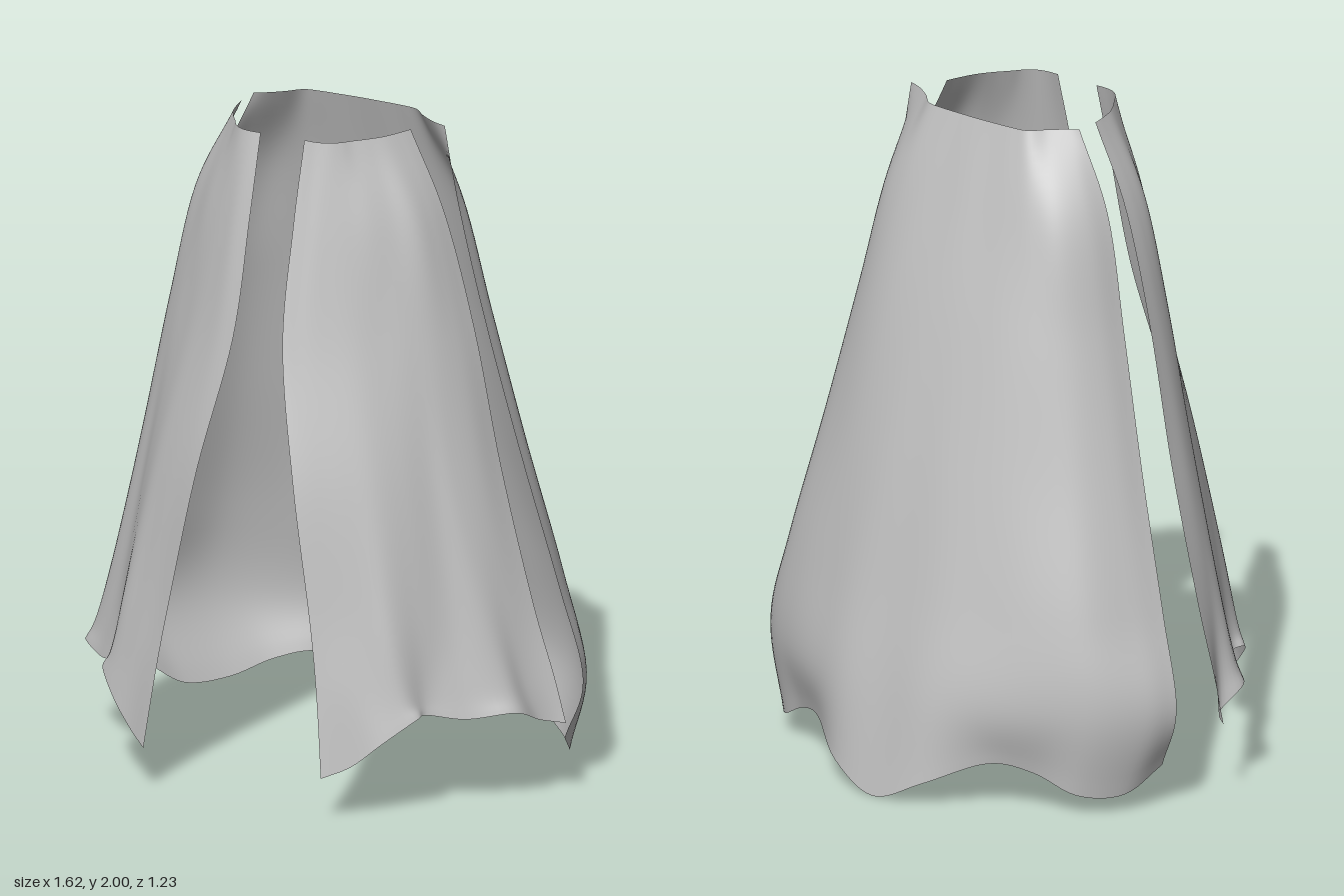
import * as THREE from 'three';

// Smooth sheet lofted through rows of [x, y, z] points, top row first
function sheet(rows, nu, nv) {
  const spline = (pts) => new THREE.CatmullRomCurve3(pts, false, 'catmullrom', 0.5);
  const across = rows.map((r) => spline(r.map((p) => new THREE.Vector3(...p))));
  const pos = [], index = [];
  for (let i = 0; i <= nu; i++) {
    const down = spline(across.map((c) => c.getPoint(i / nu)));
    for (let j = 0; j <= nv; j++) pos.push(...down.getPoint(j / nv).toArray());
  }
  for (let i = 0; i < nu; i++) {
    for (let j = 0; j < nv; j++) {
      const a = i * (nv + 1) + j, b = a + nv + 1;
      index.push(a, a + 1, b, b, a + 1, b + 1);
    }
  }
  const g = new THREE.BufferGeometry();
  g.setAttribute('position', new THREE.Float32BufferAttribute(pos, 3));
  g.setIndex(index);
  g.computeVertexNormals();
  return g;
}

// Level cross-section: [x, z] pairs at one height
const level = (y, pts) => pts.map(([x, z]) => [x, y, z]);
const mirror = (row) => row.map(([x, y, z]) => [-x, y, z]);

// Half of the back panel, from the side edge to the centre
const backHalf = [
  level(2, [[0.36, -0.02], [0.31, -0.04], [0.25, -0.08], [0.2, -0.125], [0.14, -0.135], [0.07, -0.138], [0, -0.14]]),
  level(1.75, [[0.41, -0.02], [0.385, -0.09], [0.33, -0.16], [0.26, -0.195], [0.18, -0.21], [0.09, -0.215], [0, -0.22]]),
  level(1.4, [[0.49, -0.04], [0.465, -0.12], [0.41, -0.2], [0.33, -0.26], [0.23, -0.3], [0.11, -0.32], [0, -0.325]]),
  level(1, [[0.59, -0.075], [0.56, -0.16], [0.49, -0.26], [0.39, -0.33], [0.27, -0.385], [0.13, -0.42], [0, -0.425]]),
  level(0.6, [[0.7, -0.11], [0.66, -0.2], [0.58, -0.32], [0.46, -0.4], [0.31, -0.46], [0.16, -0.505], [0, -0.51]]),
  level(0.32, [[0.77, -0.13], [0.73, -0.22], [0.63, -0.34], [0.49, -0.43], [0.32, -0.51], [0.16, -0.565], [0, -0.565]]),
  // Wavy hem, tucked in at the corner
  [[0.71, 0.13, -0.125], [0.66, 0.055, -0.24], [0.57, 0.06, -0.35], [0.45, 0.12, -0.41], [0.33, 0.14, -0.48], [0.17, 0.07, -0.59], [0, 0, -0.615]],
];

// Front panel, from the side edge to the centre opening
const frontHalf = [
  level(2, [[0.29, 0.06], [0.28, 0.1], [0.26, 0.16], [0.23, 0.21], [0.2, 0.25], [0.18, 0.28], [0.15, 0.305], [0.115, 0.315], [0.075, 0.315]]),
  level(1.75, [[0.41, 0.06], [0.4, 0.12], [0.38, 0.18], [0.33, 0.23], [0.28, 0.28], [0.23, 0.315], [0.18, 0.345], [0.13, 0.37], [0.075, 0.38]]),
  level(1.4, [[0.51, 0.055], [0.49, 0.13], [0.455, 0.2], [0.4, 0.26], [0.34, 0.31], [0.28, 0.36], [0.22, 0.4], [0.15, 0.44], [0.085, 0.46]]),
  level(1, [[0.595, 0.05], [0.575, 0.14], [0.53, 0.22], [0.48, 0.27], [0.43, 0.34], [0.37, 0.41], [0.3, 0.46], [0.23, 0.5], [0.165, 0.535]]),
  level(0.6, [[0.7, 0.045], [0.665, 0.14], [0.63, 0.22], [0.555, 0.29], [0.5, 0.37], [0.45, 0.45], [0.38, 0.49], [0.3, 0.53], [0.24, 0.565]]),
  level(0.38, [[0.77, 0.04], [0.715, 0.12], [0.7, 0.21], [0.6, 0.31], [0.53, 0.38], [0.5, 0.46], [0.42, 0.51], [0.34, 0.55], [0.275, 0.585]]),
  // Folded hem, flaring at the side edge
  [[0.81, 0.235, 0.037], [0.75, 0.25, 0.09], [0.74, 0.3, 0.21], [0.63, 0.29, 0.31], [0.54, 0.31, 0.39], [0.54, 0.31, 0.45], [0.46, 0.24, 0.52], [0.38, 0.17, 0.56], [0.305, 0.135, 0.61]],
];

export function createModel() {
  const group = new THREE.Group();
  const cloth = new THREE.MeshStandardMaterial({ color: 0xc0c0c0, side: THREE.DoubleSide });
  cloth.name = 'grey cloth';

  const add = (name, rows, nu) => {
    const mesh = new THREE.Mesh(sheet(rows, nu, 48), cloth);
    mesh.name = name;
    group.add(mesh);
  };

  // Back panel; its waist is a little narrower on the right
  const backRows = backHalf.map((row, i) => {
    const other = mirror(row.slice(0, -1)).reverse();
    if (i === 0) other.forEach((p, k) => { p[0] *= 1 - 0.035 * k; });
    return [...row, ...other];
  });
  add('backPanel', backRows, 72);

  // Two front panels with an opening between them
  add('leftFrontPanel', frontHalf.map((row) => [...row].reverse()), 48);
  add('rightFrontPanel', frontHalf.map(mirror), 48);

  return group;
}
